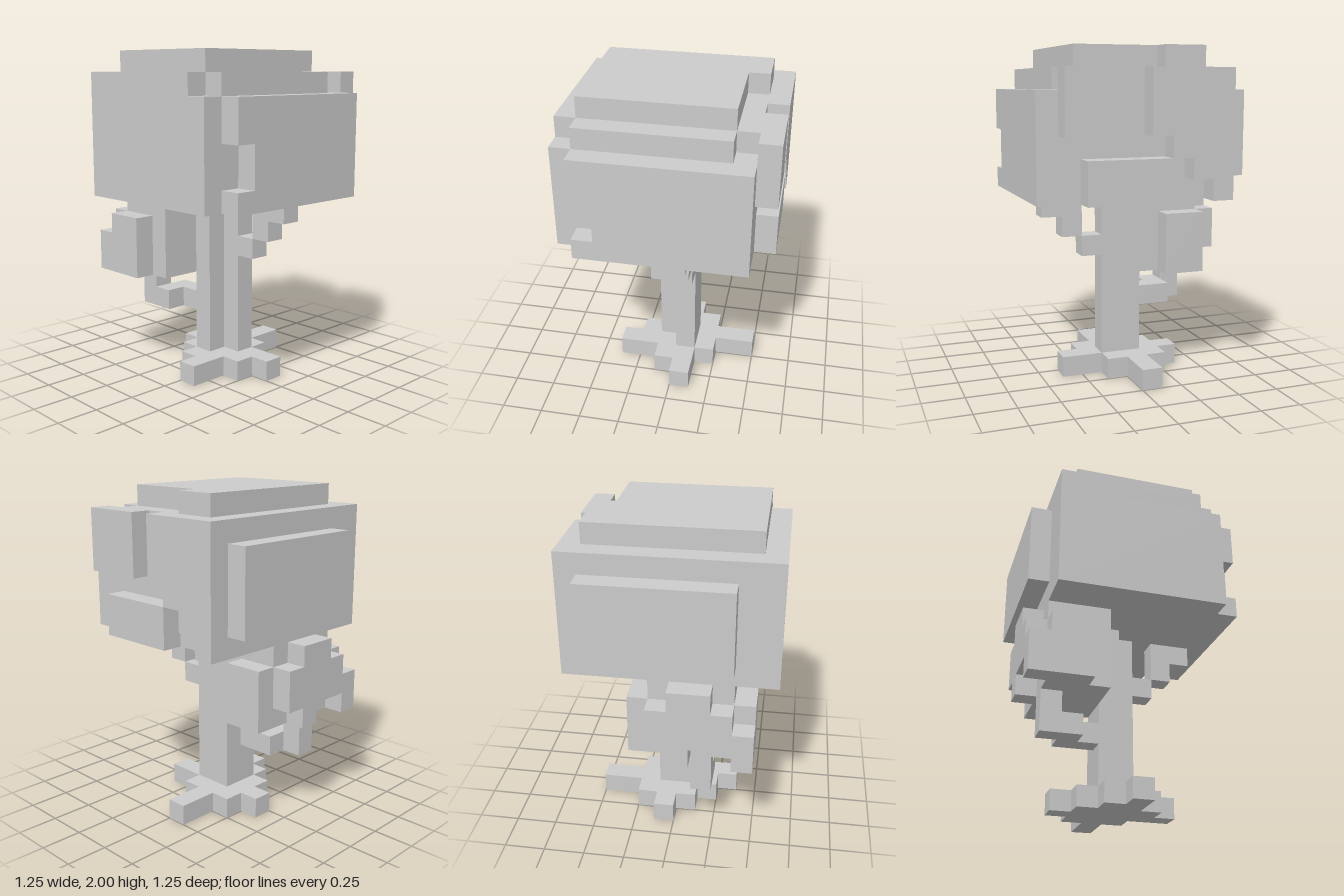
import * as THREE from 'three';

const U = 0.125; // one voxel
const material = new THREE.MeshStandardMaterial({ color: 0xcccccc, flatShading: true });

// Adds a named group of blocks, each given as [x0, x1, y0, y1, z0, z1] in voxels
function addPart(parent, name, blocks) {
  const part = new THREE.Group();
  part.name = name;
  for (const [x0, x1, y0, y1, z0, z1] of blocks) {
    const geometry = new THREE.BoxGeometry((x1 - x0) * U, (y1 - y0) * U, (z1 - z0) * U);
    const mesh = new THREE.Mesh(geometry, material);
    mesh.name = name + 'Block';
    mesh.position.set((x0 + x1) * U / 2, (y0 + y1) * U / 2, (z0 + z1) * U / 2);
    part.add(mesh);
  }
  parent.add(part);
}

export function createModel() {
  const tree = new THREE.Group();
  tree.name = 'tree';

  // Trunk with one notched corner
  addPart(tree, 'trunk', [
    [0, 1, 0, 9, -1, 1],
    [-1, 0, 0, 9, -1, 0],
  ]);

  // Roots spreading on the ground
  addPart(tree, 'roots', [
    [-1, 0, 0, 1, 0, 2],
    [0, 1, 0, 1, 1, 3],
    [-3, -1, 0, 1, 0, 1],
    [-2, -1, 0, 1, -1, 0],
    [1, 2, 0, 1, 0, 1],
    [1, 4, 0, 1, -1, 0],
    [1, 2, 0, 1, -2, -1],
    [0, 1, 0, 1, -3, -1],
    [-1, 0, 0, 1, -2, -1],
  ]);

  // Stepped branch rising to the front of the crown
  addPart(tree, 'frontBranch', [
    [0, 1, 6, 7, 1, 2],
    [0, 1, 7, 9, 2, 3],
    [0, 1, 8, 9, 3, 4],
  ]);

  // Thin branch carrying the rear leaves
  addPart(tree, 'rearBranch', [
    [-1, 0, 3, 4, -3, -1],
    [-2, -1, 3, 4, -4, -2],
    [-2, -1, 4, 5, -4, -3],
  ]);

  // Small leaf cluster behind the trunk
  addPart(tree, 'rearLeaves', [
    [-3, 1, 5, 9, -4, -1],
    [1, 2, 5, 8, -4, -2],
    [-4, -3, 5, 8, -4, -2],
    [-4, -3, 5, 7, -5, -4],
    [-3, -2, 6, 8, -5, -4],
    [-2, 0, 6, 9, -5, -4],
    [-1, 0, 5, 6, -5, -4],
    [0, 1, 6, 8, -5, -4],
  ]);

  // Main crown and its stepped top
  addPart(tree, 'crown', [
    [-5, 4, 9, 14, -4, 4],
    [-5, 4, 14, 15, -4, 3],
    [-4, 3, 14, 15, 3, 4],
  ]);
  addPart(tree, 'crownTop', [
    [-4, 3, 15, 16, -3, 3],
    [3, 4, 15, 16, -3, -1],
  ]);

  // Raised leaf layers on the front and back
  addPart(tree, 'frontLeaves', [
    [-3, 4, 9, 14, 4, 5],
    [-4, -3, 9, 10, 4, 5],
    [-4, -3, 12, 14, 4, 5],
  ]);
  addPart(tree, 'backLeaves', [[-3, 4, 10, 14, -5, -4]]);

  // Broken leaf layer on the left side, with a staircase lower edge
  const sideBlocks = [
    [4, 5, 12, 15, 1, 4],
    [4, 5, 9, 11, -1, 3],
  ];
  for (let i = 0; i < 4; i++) sideBlocks.push([4, 5, 12 - i, 15, -1 - i, -i]);
  addPart(tree, 'leftLeaves', sideBlocks);

  return tree;
}
